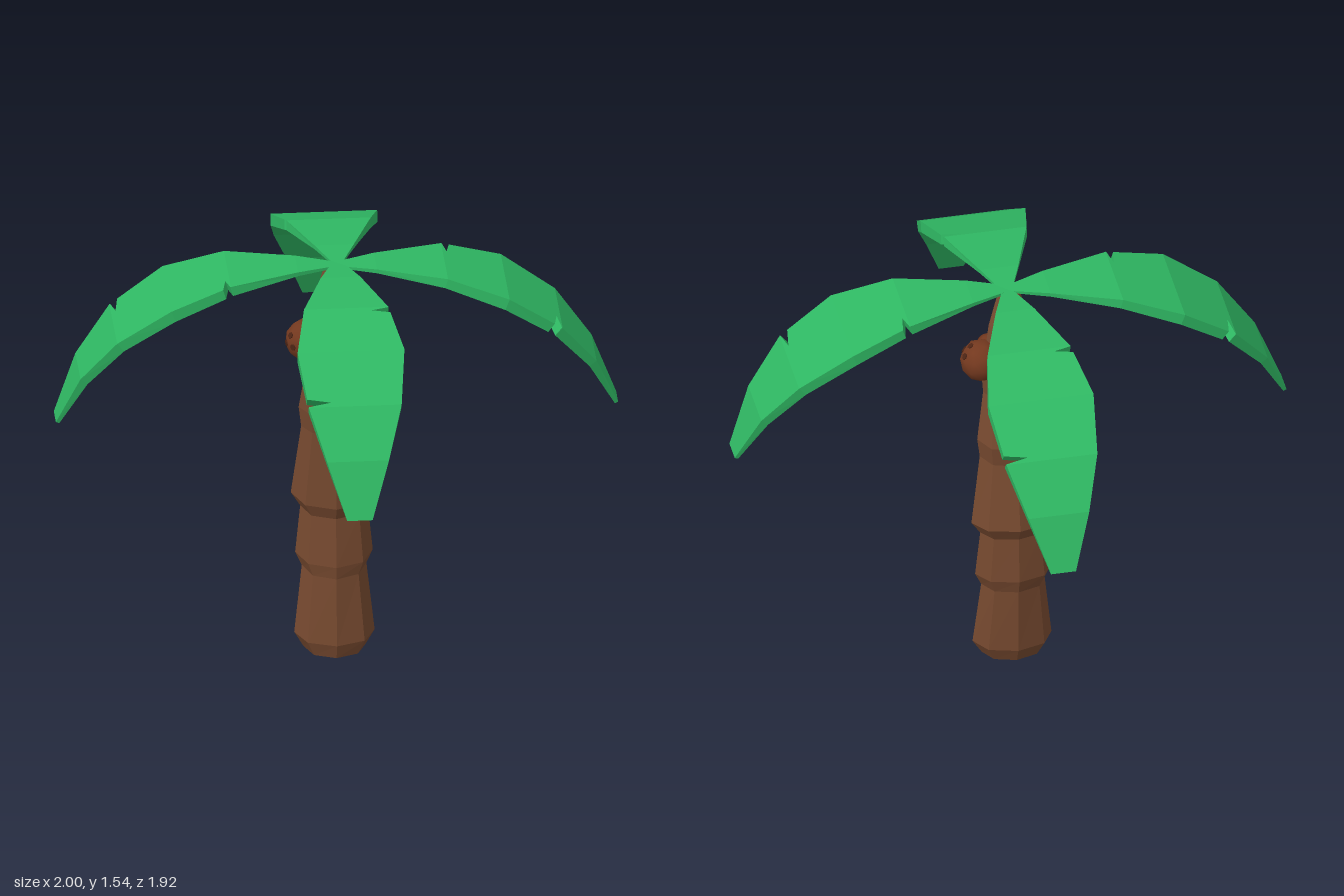
import * as THREE from 'three';

const mat = (name, color) => {
  const m = new THREE.MeshStandardMaterial({ color });
  m.name = name;
  return m;
};

// Capped, faceted skin over rings of points that run counterclockwise about the path
function loft(rings) {
  const n = rings[0].length, last = (rings.length - 1) * n, index = [];
  for (let i = 0; i < last; i += n) {
    for (let j = 0; j < n; j++) {
      const a = i + j, b = i + (j + 1) % n;
      index.push(a, b, b + n, a, b + n, a + n);
    }
  }
  for (let j = 1; j < n - 1; j++) index.push(0, j + 1, j, last, last + j, last + j + 1);
  const g = new THREE.BufferGeometry();
  g.setAttribute('position', new THREE.Float32BufferAttribute(rings.flat(2), 3));
  g.setIndex(index);
  const flat = g.toNonIndexed();
  flat.computeVertexNormals();
  return flat;
}

// Segmented trunk: height, centre z, radius x, radius z, tilt
const TRUNK = [
  [0.01, -0.05, 0.11, 0.09, 0.1],
  [0.065, -0.055, 0.143, 0.11, 0.1],
  [0.32, -0.07, 0.115, 0.1, 0.15],
  [0.37, -0.075, 0.138, 0.11, 0.17],
  [0.55, -0.078, 0.12, 0.093, 0.17],
  [0.6, -0.083, 0.153, 0.117, 0.17],
  [0.87, -0.06, 0.118, 0.09, 0],
  [0.945, -0.06, 0.127, 0.1, 0],
  [1.13, -0.033, 0.1, 0.08, -0.1],
  [1.2, -0.032, 0.105, 0.088, -0.1],
  [1.4, -0.01, 0.075, 0.065, -0.1],
  [1.525, 0, 0.04, 0.04, 0],
];
function trunkGeometry(sides = 8) {
  return loft(TRUNK.map(([y, cz, rx, rz, tilt]) =>
    Array.from({ length: sides }, (_, j) => {
      const a = (j / sides) * Math.PI * 2, z = Math.cos(a) * rz;
      return [Math.sin(a) * rx, y - tilt * z, cz + z];
    })));
}

// Drooping leaf along +x: top x, top y, underside x, underside y, half width
const LEAF = [
  [0, 1.535, 0, 1.527, 0.018],
  [0.14, 1.54, 0.14, 1.525, 0.07],
  [0.385, 1.53, 0.375, 1.495, 0.15],
  [0.6, 1.46, 0.585, 1.42, 0.19],
  [0.79, 1.33, 0.765, 1.3, 0.165],
  [0.915, 1.17, 0.89, 1.15, 0.11],
  [0.997, 0.975, 0.985, 0.97, 0.045],
];
const NOTCHES = [
  { at: 0.4, side: -1, width: 0.09 },
  { at: 0.775, side: 1, width: 0.085 },
];
function leafAt(x) {
  const i = Math.min(Math.max(LEAF.findIndex(k => k[0] >= x), 1), LEAF.length - 1);
  const a = LEAF[i - 1], b = LEAF[i], t = (x - a[0]) / (b[0] - a[0]);
  return a.map((v, k) => v + (b[k] - v) * t);
}
function leafGeometry() {
  const stations = LEAF.map(k => k[0]);
  NOTCHES.forEach(({ at }) => stations.push(at - 0.013, at, at + 0.013));
  stations.sort((a, b) => a - b);
  return loft(stations.map(x => {
    const [tx, ty, bx, by, w] = leafAt(x);
    const cut = NOTCHES.find(n => n.at === x);
    const near = cut && cut.side < 0 ? -cut.width : -w;
    const far = cut && cut.side > 0 ? cut.width : w;
    return [[bx, by, near], [tx, ty, near], [tx, ty, far], [bx, by, far]];
  }));
}

// Faceted coconut with three dark eyes facing a given direction
function coconut(position, facing, shell, dark) {
  const g = new THREE.Group();
  g.name = 'coconut';
  const nut = new THREE.Mesh(new THREE.IcosahedronGeometry(0.078, 1), shell);
  nut.name = 'coconutShell';
  g.add(nut);
  for (let i = 0; i < 3; i++) {
    const a = (i / 3) * Math.PI * 2 + Math.PI / 2;
    const dir = new THREE.Vector3(Math.cos(a) * 0.36, Math.sin(a) * 0.36, 1).normalize();
    const eye = new THREE.Mesh(new THREE.CylinderGeometry(0.012, 0.012, 0.008, 6), dark);
    eye.name = 'coconutEye';
    eye.position.copy(dir).multiplyScalar(0.073);
    eye.quaternion.setFromUnitVectors(new THREE.Vector3(0, 1, 0), dir);
    g.add(eye);
  }
  g.position.set(...position);
  g.lookAt(new THREE.Vector3(...position).add(new THREE.Vector3(...facing)));
  return g;
}

export function createModel() {
  const bark = mat('bark brown', 0x76492f);
  const green = mat('leaf green', 0x2fb863);
  const shell = mat('coconut brown', 0x74391f);
  const dark = mat('dark brown', 0x4e2515);
  const model = new THREE.Group();
  model.name = 'palmTree';

  const trunk = new THREE.Mesh(trunkGeometry(), bark);
  trunk.name = 'trunk';
  model.add(trunk);

  // Four leaves, the front and back ones a little shorter
  const leafGeo = leafGeometry();
  ['leftLeaf', 'frontLeaf', 'rightLeaf', 'backLeaf'].forEach((name, i) => {
    const leaf = new THREE.Mesh(leafGeo, green);
    leaf.name = name;
    leaf.rotation.y = -i * Math.PI / 2;
    leaf.scale.x = i % 2 ? 0.962 : 1.003;
    leaf.position.set(i % 2 ? 0.006 : 0, 0, i % 2 ? 0 : 0.012);
    model.add(leaf);
  });

  // Coconuts under the crown
  model.add(
    coconut([0.04, 1.22, 0.065], [0.5, 0.15, 0.8], shell, dark),
    coconut([0.105, 1.27, -0.035], [0.75, 0.6, 0.1], shell, dark),
    coconut([-0.098, 1.21, -0.055], [-0.8, 0.1, 0.4], shell, dark),
  );
  return model;
}
